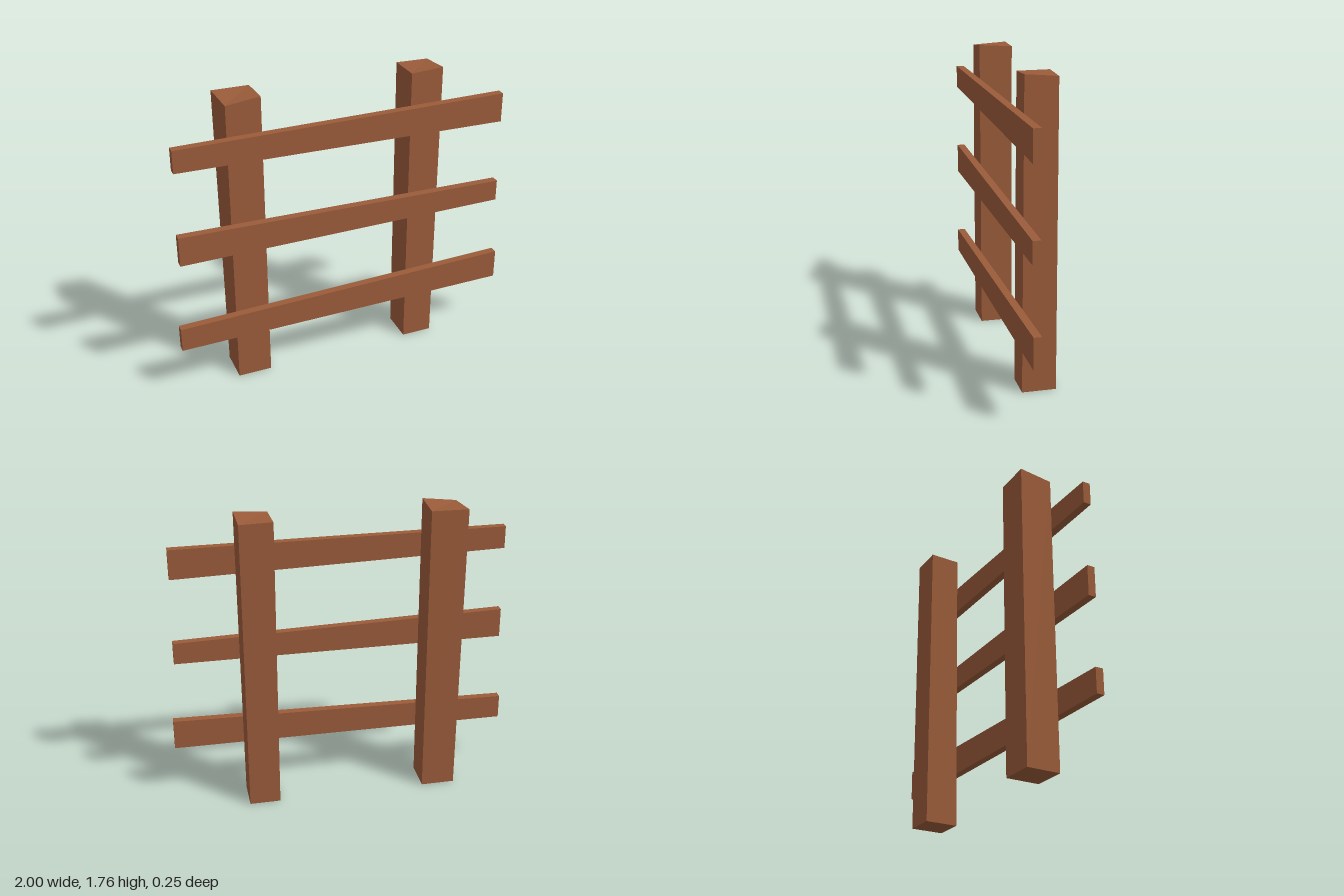
import * as THREE from 'three';

const wood = new THREE.MeshStandardMaterial({ color: 0x9b5c3a });
wood.name = 'brown wood';

// Box whose eight corners are placed by a rule: corner(right, top, front) -> [x, y, z]
function hewnBox(name, corner) {
  const indexed = new THREE.BoxGeometry(1, 1, 1);
  const p = indexed.attributes.position;
  for (let i = 0; i < p.count; i++) {
    p.setXYZ(i, ...corner(p.getX(i) > 0, p.getY(i) > 0, p.getZ(i) > 0));
  }
  const geometry = indexed.toNonIndexed();
  geometry.computeVertexNormals();
  const mesh = new THREE.Mesh(geometry, wood);
  mesh.name = name;
  return mesh;
}

// Upright post: base rectangle, then top corners in order back-left, back-right, front-left, front-right
function post(name, [x0, x1, z0, z1], top) {
  return hewnBox(name, (r, t, f) =>
    t ? top[(f ? 2 : 0) + (r ? 1 : 0)] : [r ? x1 : x0, 0, f ? z1 : z0]);
}

// Tapered rail: each end is [x, bottom, top]
function rail(name, left, right) {
  return hewnBox(name, (r, t, f) => {
    const end = r ? right : left;
    return [end[0], t ? end[2] : end[1], f ? 0.125 : 0.08];
  });
}

export function createModel() {
  const fence = new THREE.Group();
  fence.name = 'fence';

  // Posts with slightly skewed tops
  fence.add(
    post('rightPost', [-0.663, -0.465, -0.115, 0.08],
      [[-0.675, 1.75, -0.125], [-0.465, 1.75, -0.117], [-0.66, 1.74, 0.078], [-0.465, 1.763, 0.08]]),
    post('leftPost', [0.41, 0.59, -0.113, 0.08],
      [[0.402, 1.748, -0.113], [0.59, 1.743, -0.11], [0.41, 1.748, 0.07], [0.597, 1.76, 0.075]])
  );

  // Three uneven rails across the front
  fence.add(
    rail('topRail', [-0.968, 1.43, 1.562], [0.963, 1.388, 1.562]),
    rail('middleRail', [-0.972, 0.867, 1.043], [0.97, 0.873, 1.0]),
    rail('bottomRail', [-1, 0.31, 0.453], [1, 0.322, 0.5])
  );
  return fence;
}
